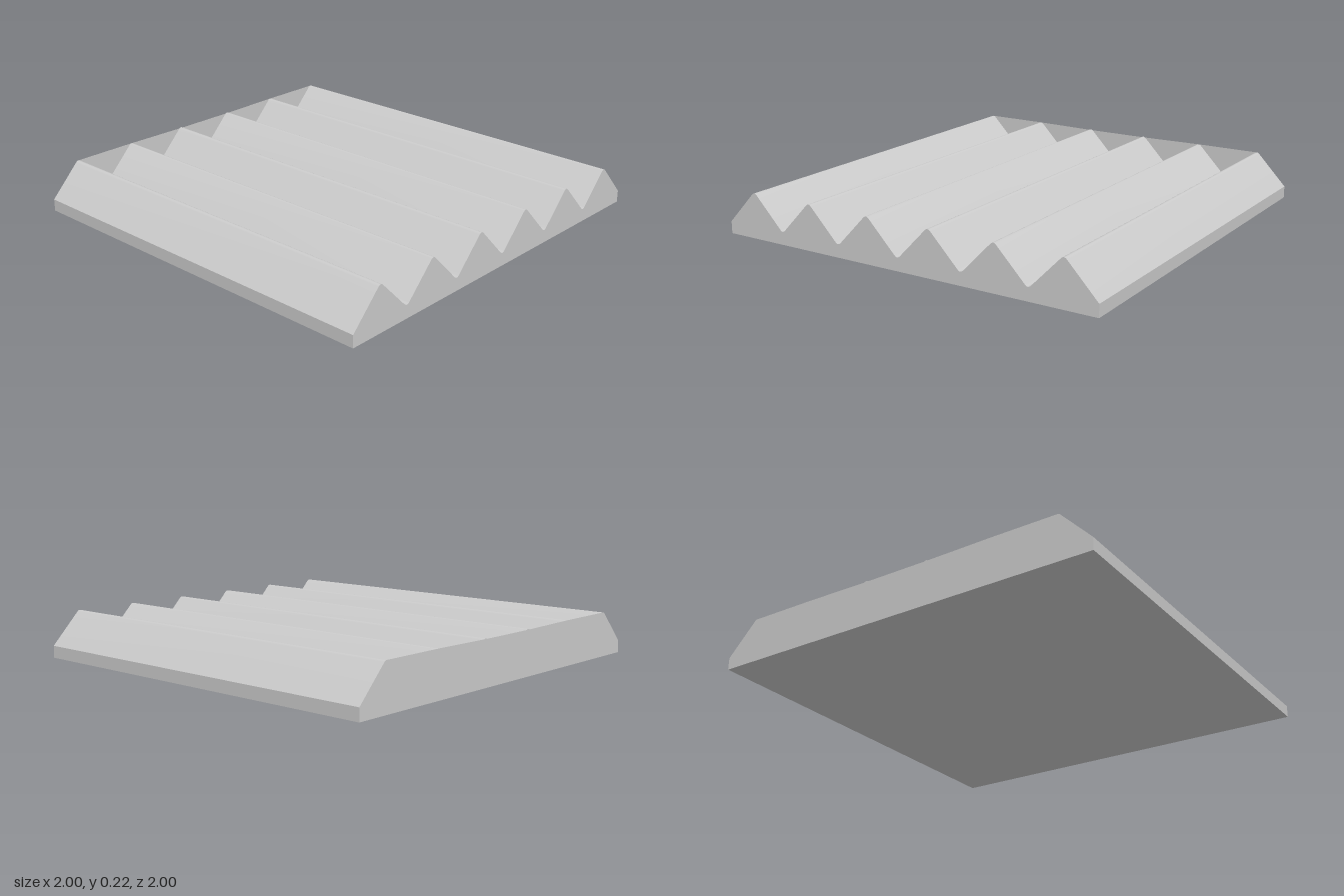
import * as THREE from 'three';
import { toCreasedNormals } from 'three/addons/utils/BufferGeometryUtils.js';

const RIDGES = 6, PITCH = 0.335, TOP = 0.222, LOW = 0.064, ROUND = 0.014;
const peakAt = (i) => (i - (RIDGES - 1) / 2) * PITCH;
const tipY = TOP + ROUND / 2, dipY = LOW - ROUND / 2;

// Rounded crest or valley centred on u
function roundTip(shape, u, y, sign) {
  shape.lineTo(u - ROUND, y - sign * ROUND);
  shape.quadraticCurveTo(u, y, u + ROUND, y - sign * ROUND);
}

export function createModel() {
  const group = new THREE.Group();
  const material = new THREE.MeshStandardMaterial({ color: 0xcccccc, side: THREE.DoubleSide });

  // Ridged slab: saw-like profile extruded along x
  const profile = new THREE.Shape();
  profile.moveTo(-1, 0);
  profile.lineTo(-1, 0.06);
  for (let i = 0; i < RIDGES; i++) {
    roundTip(profile, peakAt(i), tipY, 1);
    if (i < RIDGES - 1) roundTip(profile, peakAt(i) + PITCH / 2, dipY, -1);
  }
  profile.lineTo(1, 0.06);
  profile.lineTo(1, 0);
  const slab = new THREE.ExtrudeGeometry(profile, { depth: 2, bevelEnabled: false, curveSegments: 6 });
  slab.translate(0, 0, -1).rotateY(Math.PI / 2);
  const ridgedSlab = new THREE.Mesh(toCreasedNormals(slab, 0.6), material);
  ridgedSlab.name = 'ridgedSlab';
  group.add(ridgedSlab);

  // Thin end wall closing the grooves on the -x side
  const endWall = new THREE.Group();
  endWall.name = 'endWall';
  for (let i = 0; i < RIDGES - 1; i++) {
    const a = peakAt(i), b = peakAt(i + 1);
    const sag = (u) => TOP - 0.006 * Math.max(0, 1 - Math.abs(u) / 0.5);
    const stop = new THREE.Shape();
    stop.moveTo(a, sag(a));
    stop.lineTo(a + ROUND, tipY - ROUND);
    roundTip(stop, (a + b) / 2, dipY, -1);
    stop.lineTo(b - ROUND, tipY - ROUND);
    stop.lineTo(b, sag(b));
    const geometry = new THREE.ShapeGeometry(stop, 6).rotateY(-Math.PI / 2).translate(-1, 0, 0);
    const mesh = new THREE.Mesh(geometry, material);
    mesh.name = 'grooveStop';
    endWall.add(mesh);
  }
  group.add(endWall);
  return group;
}
